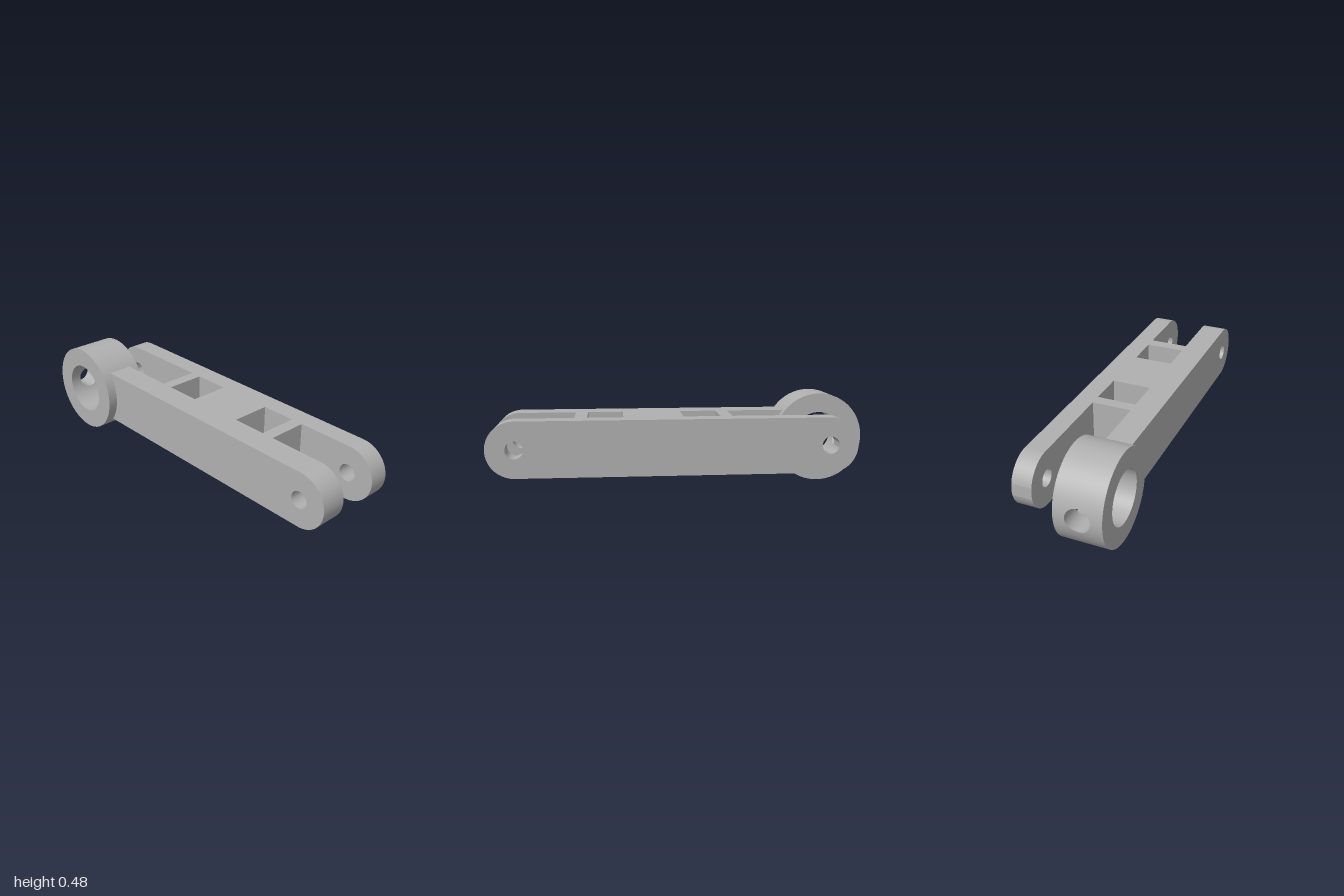
import * as THREE from 'three';
import { ParametricGeometry } from 'three/addons/geometries/ParametricGeometry.js';

const CY = 0.24;                        // height of the centre line
const RING_X = -0.762, PIN_X = 0.853;   // pivot centres
const R_OUT = 0.239, R_IN = 0.137;      // ring radii
const Z_BACK = 0.01, Z_FRONT = 0.25;    // ring depth
const ARM_R = 0.145, PIN_R = 0.045;     // arm half height, pin hole radius
const PORT_R = 0.062, PATCH = 0.1;      // radial port and the wall patch around it

export function createModel() {
  const metal = new THREE.MeshStandardMaterial({ color: 0xb0b0b0, side: THREE.DoubleSide });
  const model = new THREE.Group();
  model.name = 'linkArm';

  const add = (name, geometry, parent = model) => {
    const mesh = new THREE.Mesh(geometry, metal);
    mesh.name = name;
    parent.add(mesh);
    return mesh;
  };
  const circle = (x, r) => new THREE.Path().absarc(x, CY, r, 0, Math.PI * 2, true);
  const plate = (name, shape, z0, z1) => {
    const geometry = new THREE.ExtrudeGeometry(shape, { depth: z1 - z0, bevelEnabled: false, curveSegments: 32 });
    // smooth the round ends and holes: normals follow the nearest pivot
    const p = geometry.attributes.position, n = geometry.attributes.normal;
    for (let i = 0; i < p.count; i++) {
      if (Math.abs(n.getZ(i)) > 0.5) continue;
      for (const cx of [RING_X, PIN_X]) {
        const v = new THREE.Vector3(p.getX(i) - cx, p.getY(i) - CY, 0).normalize();
        const d = v.x * n.getX(i) + v.y * n.getY(i);
        if (Math.abs(d) > 0.98) n.setXYZ(i, v.x * Math.sign(d), v.y * Math.sign(d), 0);
      }
    }
    geometry.translate(0, 0, z0);
    return add(name, geometry);
  };

  // Back arm: full slot shape with a pin hole at each end
  const back = new THREE.Shape();
  back.absarc(PIN_X, CY, ARM_R, -Math.PI / 2, Math.PI / 2, false);
  back.absarc(RING_X, CY, ARM_R, Math.PI / 2, Math.PI * 1.5, false);
  back.holes.push(circle(PIN_X, PIN_R), circle(RING_X, PIN_R));
  plate('backArm', back, -0.25, -0.146);

  // Front arm: rounded at the pin, hollowed to meet the ring
  const fit = Math.asin(ARM_R / R_OUT);
  const front = new THREE.Shape();
  front.absarc(PIN_X, CY, ARM_R, -Math.PI / 2, Math.PI / 2, false);
  front.absarc(RING_X, CY, R_OUT, fit, -fit, true);
  front.holes.push(circle(PIN_X, PIN_R));
  plate('frontArm', front, 0.063, 0.198);

  // Webs joining the two arms
  for (const [x0, x1] of [[-0.262, -0.2], [-0.005, 0.305], [0.49, 0.555]]) {
    add('web', new THREE.BoxGeometry(x1 - x0, ARM_R * 2, 0.209)).position.set((x0 + x1) / 2, CY, -0.0415);
  }

  // Ring with a radial port on its outer side
  const ring = new THREE.Group();
  ring.name = 'ring';
  ring.position.set(RING_X, CY, (Z_BACK + Z_FRONT) / 2);
  model.add(ring);
  const half = (Z_FRONT - Z_BACK) / 2;
  for (const side of [-1, 1]) {
    const face = add('ringFace', new THREE.RingGeometry(R_IN, R_OUT, 96), ring);
    face.position.z = side * half;
    if (side < 0) face.rotation.y = Math.PI;
  }
  const onWall = (r, y) => -Math.sqrt(r * r - y * y);
  for (const [r, name] of [[R_OUT, 'ringOuter'], [R_IN, 'ringInner']]) {
    // the wall away from the port
    const gap = Math.asin(PATCH / r);
    add(name + 'Wall', new ParametricGeometry((u, v, t) => {
      const a = -Math.PI + gap + u * 2 * (Math.PI - gap);
      t.set(r * Math.cos(a), r * Math.sin(a), (v * 2 - 1) * half);
    }, 80, 1), ring);
    // the patch from the port's edge out to a rectangle
    add(name + 'PortWall', new ParametricGeometry((u, v, t) => {
      const a = u * Math.PI * 2 + Math.PI / 4, c = Math.cos(a), s = Math.sin(a);
      const k = 1 / Math.max(Math.abs(c), Math.abs(s));
      const y = THREE.MathUtils.lerp(PORT_R * c, PATCH * k * c, v);
      const z = THREE.MathUtils.lerp(PORT_R * s, half * k * s, v);
      t.set(onWall(r, Math.max(-PATCH, Math.min(PATCH, y))), y, z);
    }, 64, 8), ring);
  }
  // the bore of the port
  add('portBore', new ParametricGeometry((u, v, t) => {
    const a = u * Math.PI * 2 + Math.PI / 4, y = PORT_R * Math.cos(a);
    t.set(onWall(v < 0.5 ? R_IN : R_OUT, y) , y, PORT_R * Math.sin(a));
    t.x = THREE.MathUtils.lerp(onWall(R_IN, y), onWall(R_OUT, y), v);
  }, 64, 1), ring);

  return model;
}
